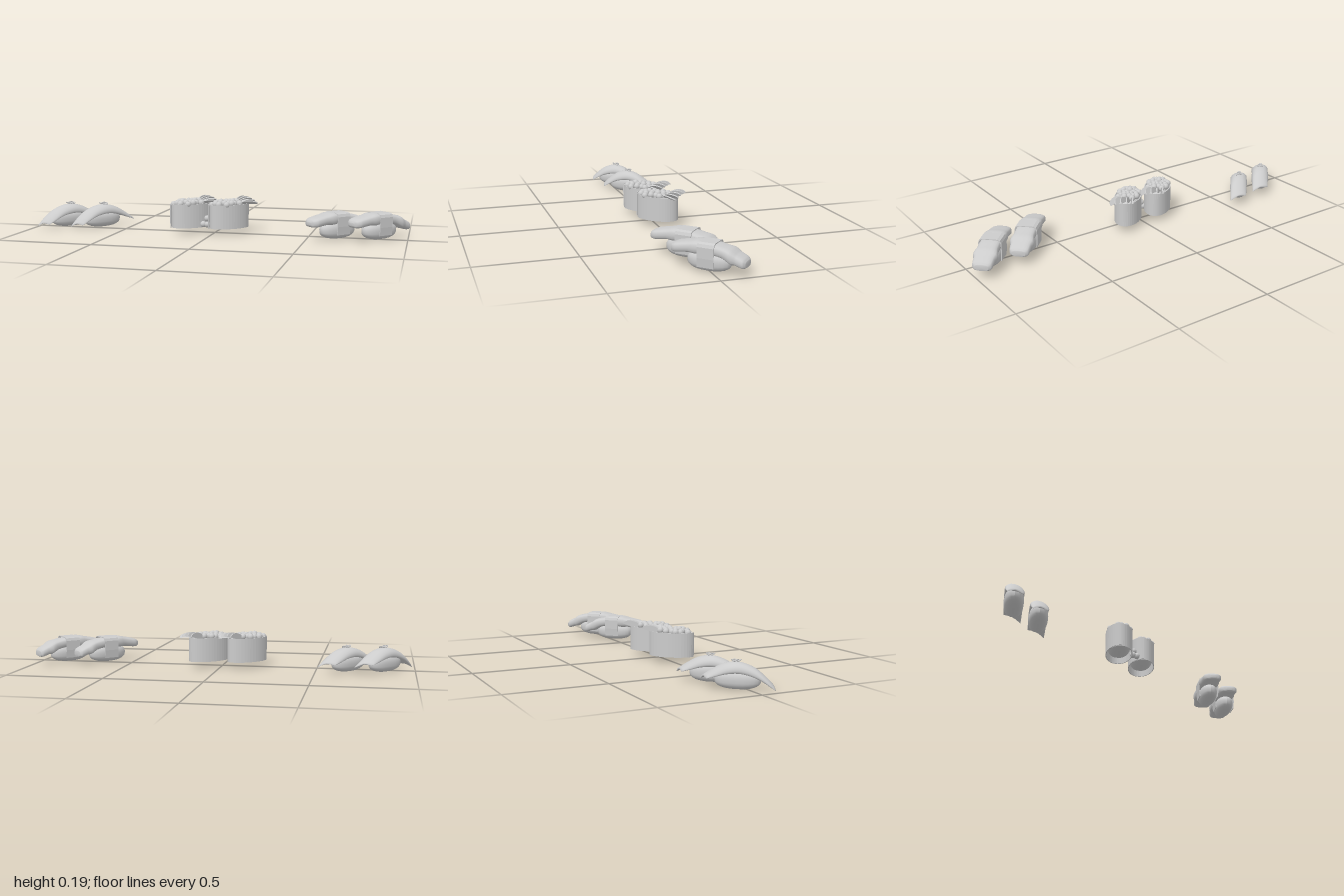
import * as THREE from 'three';

const grey = new THREE.MeshStandardMaterial({ color: 0xcccccc, side: THREE.DoubleSide });
const AXIS = Math.PI / 4;

function add(parent, name, geometry, x = 0, y = 0, z = 0) {
  const mesh = new THREE.Mesh(geometry, grey);
  mesh.name = name;
  mesh.position.set(x, y, z);
  parent.add(mesh);
  return mesh;
}

const power = (v, e) => Math.sign(v) * Math.pow(Math.abs(v), e);

// Skin over rounded cross-sections [x, y, halfWidth, halfThickness] along x.
// shear slants the ends, droop lowers the long edges, twist tilts the ends sideways.
function loft(sections, { shear = 0, droop = 0, twist = 0, square = 3 } = {}) {
  const N = 20, pos = [], index = [];
  const curve = new THREE.CatmullRomCurve3(sections.map(s => new THREE.Vector3(s[0], s[1], 0)));
  const sizes = new THREE.CatmullRomCurve3(sections.map(s => new THREE.Vector3(s[2], s[3], 0)));
  const M = sections.length * 4;
  const put = (x, y, z, w) => pos.push(x + shear * z, y - droop * (z / w) ** 2 - twist * x * z, z);
  for (let i = 0; i <= M; i++) {
    const p = curve.getPoint(i / M), s = sizes.getPoint(i / M);
    for (let j = 0; j < N; j++) {
      const a = j / N * Math.PI * 2;
      put(p.x, p.y + s.y * power(Math.sin(a), 2 / square), s.x * power(Math.cos(a), 2 / square), s.x);
    }
  }
  for (let i = 0; i < M; i++) for (let j = 0; j < N; j++) {
    const a = i * N + j, b = i * N + (j + 1) % N;
    index.push(a, a + N, b, b, a + N, b + N);
  }
  const first = sections[0], last = sections[sections.length - 1], c = (M + 1) * N;
  put(first[0], first[1], 0, 1);
  put(last[0], last[1], 0, 1);
  for (let j = 0; j < N; j++) {
    const k = (j + 1) % N;
    index.push(c, j, k, c + 1, M * N + k, M * N + j);
  }
  const g = new THREE.BufferGeometry();
  g.setAttribute('position', new THREE.Float32BufferAttribute(pos, 3));
  g.setIndex(index);
  g.computeVertexNormals();
  return g;
}

// Oblong rice block with softened corners and a flatter base
function riceGeometry(a, h, b) {
  const g = new THREE.SphereGeometry(1, 24, 16), p = g.attributes.position;
  for (let i = 0; i < p.count; i++) {
    const y = p.getY(i);
    p.setXYZ(i, a * power(p.getX(i), 0.85), h * power(y, y < 0 ? 0.75 : 0.9), b * power(p.getZ(i), 0.85));
  }
  g.computeVertexNormals();
  return g;
}

function piece(name, x, z, angle = AXIS) {
  const group = new THREE.Group();
  group.name = name;
  group.position.set(x, 0, z);
  group.rotation.y = angle;
  return group;
}

// Rice with a slanted fish slice and a tuft of garnish
function fishPiece(x, z) {
  const g = piece('fishPiece', x, z, 0.855);
  add(g, 'rice', riceGeometry(0.105, 0.045, 0.046), 0, 0.047, 0);
  add(g, 'fishSlice', loft([
    [-0.155, 0.03, 0.036, 0.004], [-0.125, 0.052, 0.043, 0.012], [-0.07, 0.085, 0.046, 0.02],
    [0, 0.102, 0.046, 0.023], [0.06, 0.094, 0.046, 0.021], [0.115, 0.072, 0.044, 0.014],
    [0.155, 0.055, 0.042, 0.004]
  ], { shear: 0.53, droop: 0.014, twist: 1.2, square: 2.6 }));
  for (let i = 0; i < 5; i++) {
    const a = i * 2.4, r = 0.007 + 0.003 * i;
    const ring = add(g, 'garnishRing', new THREE.TorusGeometry(0.008, 0.0025, 6, 12),
      0.012 + r * Math.cos(a), 0.128 + 0.002 * (i % 3), r * 0.6 * Math.sin(a));
    ring.rotation.set(Math.PI / 2 + 0.5 * Math.sin(a), 0.5 * Math.cos(a), 0);
  }
  return g;
}

// Rice with an omelette bar, held by a seaweed band
function omelettePiece(x, z) {
  const g = piece('omelettePiece', x, z, 0.8);
  add(g, 'rice', riceGeometry(0.105, 0.047, 0.049), 0, 0.051, 0);
  add(g, 'omelette', loft([
    [-0.182, 0.092, 0.014, 0.008], [-0.174, 0.093, 0.036, 0.018], [-0.15, 0.097, 0.05, 0.024],
    [-0.08, 0.108, 0.052, 0.026], [0, 0.11, 0.052, 0.026], [0.07, 0.101, 0.052, 0.026],
    [0.13, 0.078, 0.052, 0.026], [0.168, 0.063, 0.048, 0.023], [0.18, 0.059, 0.032, 0.014]
  ]));
  const s = new THREE.Shape();
  const arch = (w, top, r) => [[-w + 0.004, 0.028], [-w, 0.07], [-w, top - r], [-w + r * 0.3, top - r * 0.3],
    [-w + r, top], [w - r, top], [w - r * 0.3, top - r * 0.3], [w, top - r], [w, 0.07], [w - 0.004, 0.028]];
  s.setFromPoints([...arch(0.057, 0.14, 0.02), ...arch(0.053, 0.136, 0.02).reverse()]
    .map(p => new THREE.Vector2(...p)));
  const band = new THREE.ExtrudeGeometry(s, { depth: 0.08, bevelEnabled: false });
  band.translate(0, 0, -0.04).rotateY(Math.PI / 2);
  add(g, 'seaweedBand', band);
  return g;
}

// Seaweed cup filled with rice, roe and sliced cucumber
function roePiece(x, z) {
  const g = piece('roePiece', x, z);
  const A = 0.113, B = 0.068, outer = [], inner = [];
  // overlapping wrap, the loose end at the front tip
  for (let i = 0; i <= 48; i++) {
    const t = i / 48, a = Math.PI - 0.9 + t * (Math.PI * 2 + 0.9), k = 1 + 0.1 * t ** 4;
    outer.push(new THREE.Vector2(A * k * Math.cos(a), B * k * Math.sin(a)));
    inner.unshift(new THREE.Vector2((A * k - 0.004) * Math.cos(a), (B * k - 0.004) * Math.sin(a)));
  }
  const wrap = new THREE.ExtrudeGeometry(new THREE.Shape([...outer, ...inner]), { depth: 0.125, bevelEnabled: false });
  wrap.rotateX(-Math.PI / 2);
  add(g, 'seaweedWrap', wrap, 0, 0.032, 0);
  add(g, 'rice', riceGeometry(0.106, 0.052, 0.061), 0, 0.092, 0);
  // roe spread in a sunflower pattern
  const egg = new THREE.SphereGeometry(0.0165, 10, 8);
  for (let i = 0; i < 30; i++) {
    const r = Math.sqrt((i + 0.5) / 30), a = i * 2.39996;
    const u = r * 0.1 * Math.cos(a) - 0.01, v = r * 0.056 * Math.sin(a);
    if (u < 0.055) add(g, 'roe', egg, u, 0.168 - 0.012 * r * r + 0.004 * Math.sin(i * 5), v);
  }
  // fan of thin half-round slices leaning out of the back end
  for (let i = 0; i < 5; i++) {
    const slice = new THREE.CylinderGeometry(0.05, 0.05, 0.006, 16, 1, false, 0, Math.PI);
    slice.rotateZ(Math.PI / 2).rotateY(Math.PI / 2).scale(1.05, 0.6, 1);
    const m = add(g, 'cucumberSlice', slice, 0.09, 0.156, (i - 2) * 0.02);
    m.rotation.set((i - 2) * 0.25 + 0.5, (2 - i) * 0.12, 0.3);
  }
  return g;
}

export function createModel() {
  const model = new THREE.Group();
  model.name = 'sushiSet';
  model.add(
    fishPiece(-0.845, -0.03), fishPiece(-0.66, -0.055),
    roePiece(-0.128, 0.004), roePiece(0.075, -0.012),
    omelettePiece(0.647, 0.024), omelettePiece(0.855, -0.005)
  );
  // roe fallen between the two cups
  const egg = new THREE.SphereGeometry(0.0165, 10, 8);
  for (const [x, y, z] of [[-0.055, 0.05, 0.035], [-0.036, 0.08, 0.025], [-0.03, 0.05, 0.042]])
    add(model, 'fallenRoe', egg, x, y, z);
  return model;
}
